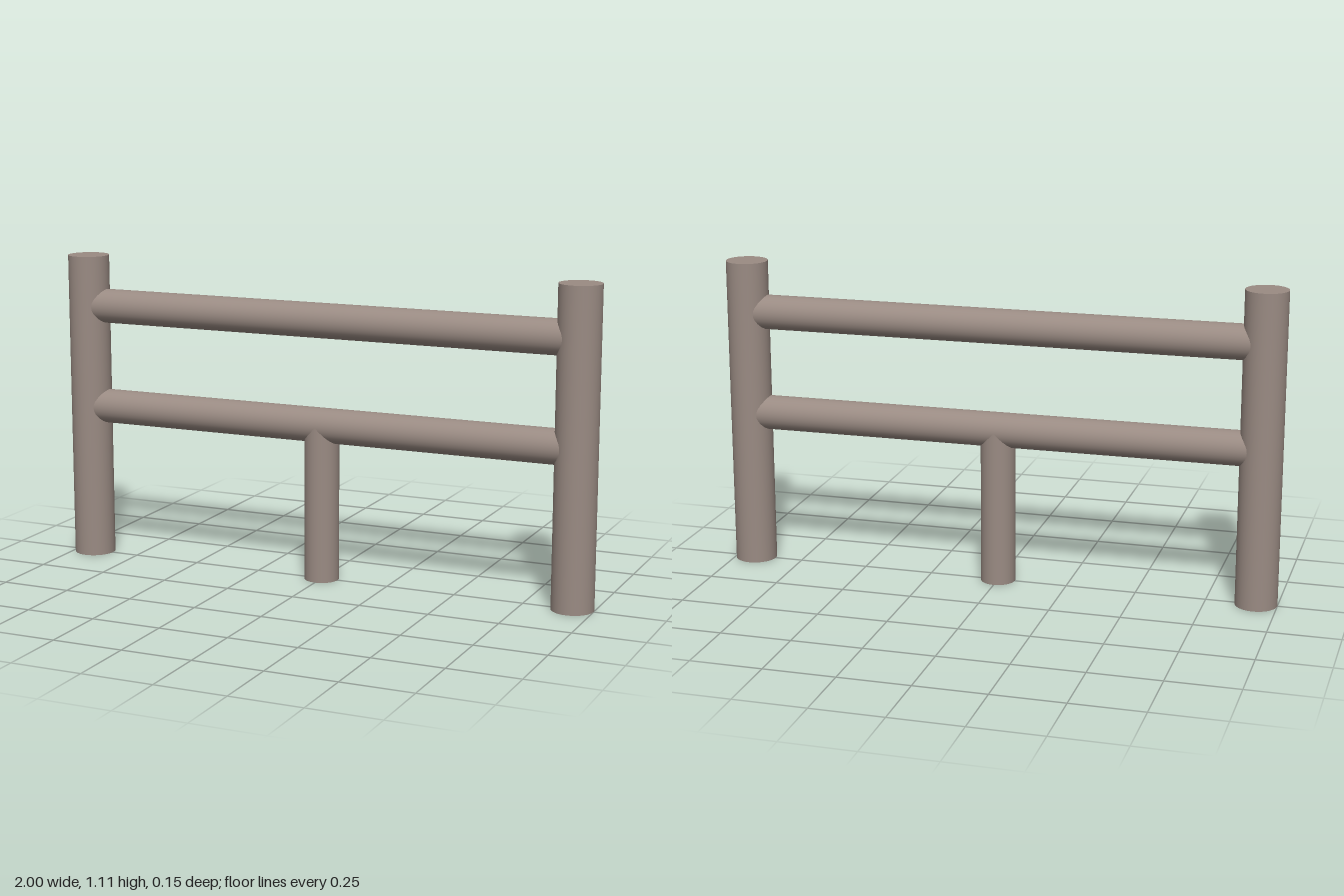
import * as THREE from 'three';

export function createModel() {
  const group = new THREE.Group();
  const wood = new THREE.MeshStandardMaterial({ color: 0x9a8b83 });
  wood.name = 'weathered wood';

  const POST_R = 0.074, POST_H = 1.11, POST_X = 1 - POST_R;
  const RAIL_R = 0.0615, RAIL_Y = [0.557, 0.927];

  // Round timber, centred on the given position
  function log(name, radius, length, x, y) {
    const mesh = new THREE.Mesh(new THREE.CylinderGeometry(radius, radius, length, 32), wood);
    mesh.name = name;
    mesh.position.set(x, y, 0);
    group.add(mesh);
    return mesh;
  }

  // End posts
  log('leftPost', POST_R, POST_H, POST_X, POST_H / 2);
  log('rightPost', POST_R, POST_H, -POST_X, POST_H / 2);

  // Horizontal rails, let into the posts
  RAIL_Y.forEach((y, i) => {
    log(i ? 'upperRail' : 'lowerRail', RAIL_R, 2 * POST_X, 0, y).rotation.z = Math.PI / 2;
  });

  // Short middle support under the lower rail
  log('middleSupport', RAIL_R, RAIL_Y[0], 0, RAIL_Y[0] / 2);

  return group;
}
